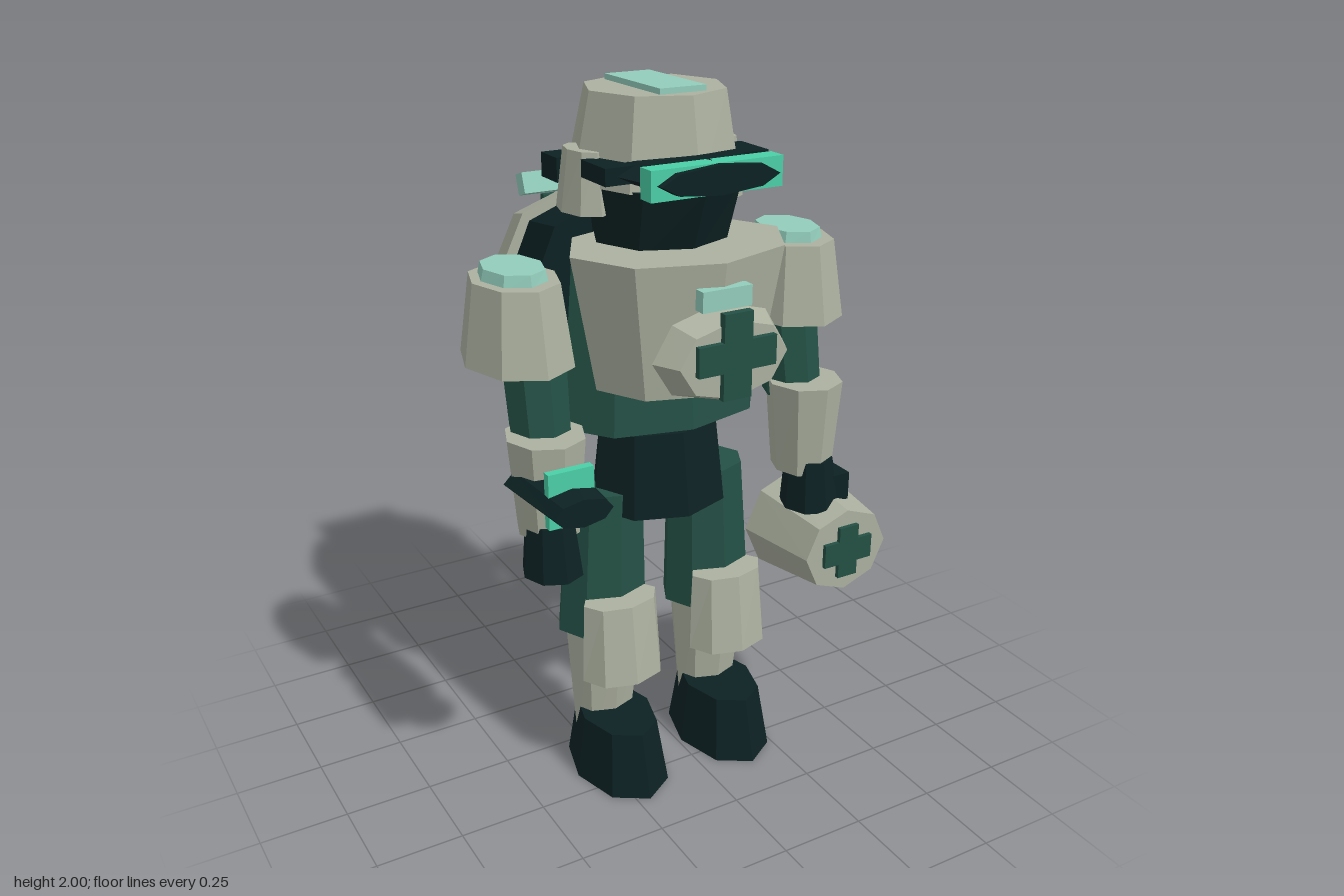
import * as THREE from 'three';

const paint = (name, color) => {
  const m = new THREE.MeshStandardMaterial({ color });
  m.name = name;
  return m;
};

export function createModel() {
  const armour = paint('warm grey armour', 0xabb09f);
  const dark = paint('near black', 0x0d2123);
  const green = paint('dark green', 0x245045);
  const pale = paint('pale teal', 0x92ccbb);
  const bright = paint('bright teal', 0x4acfa6);

  const root = new THREE.Group();
  root.name = 'armouredMedic';
  const body = new THREE.Group();
  body.name = 'body';
  body.position.x = -0.035;
  root.add(body);

  const add = (name, geometry, material) => {
    const mesh = new THREE.Mesh(geometry, material);
    mesh.name = name;
    body.add(mesh);
    return mesh;
  };

  // Faceted eight-sided frustum between two sections [x, y, z, radiusA, radiusB];
  // it runs up y (radii along x, z), or along z when alongZ is set (radii along x, y).
  const frustum = (name, material, from, to, alongZ = false) => {
    const g = new THREE.CylinderGeometry(1, 1, 1, 8).toNonIndexed();
    const p = g.attributes.position;
    for (let i = 0; i < p.count; i++) {
      const t = p.getY(i) + 0.5;
      const [cx, cy, cz, ra, rb] = from.map((v, k) => v + (to[k] - v) * t);
      const x = cx + p.getX(i) * ra;
      if (alongZ) p.setXYZ(i, x, cy - p.getZ(i) * rb, cz);
      else p.setXYZ(i, x, cy, cz + p.getZ(i) * rb);
    }
    g.computeVertexNormals();
    return add(name, g, material);
  };

  const box = (name, material, size, at) => {
    const mesh = add(name, new THREE.BoxGeometry(...size), material);
    mesh.position.set(...at);
    return mesh;
  };

  // Raised cross drawn as one outline; w, h are half lengths, a, b half arm widths
  const cross = (name, w, h, a, b, depth, at) => {
    const outline = [[a, h], [-a, h], [-a, b], [-w, b], [-w, -b], [-a, -b],
      [-a, -h], [a, -h], [a, -b], [w, -b], [w, b], [a, b]];
    const shape = new THREE.Shape(outline.map(([x, y]) => new THREE.Vector2(x, y)));
    const g = new THREE.ExtrudeGeometry(shape, { depth, bevelEnabled: false });
    g.translate(...at);
    return add(name, g, green);
  };

  // Head and helmet
  frustum('head', dark, [0, 1.56, 0.1, 0.185, 0.17], [0, 1.755, 0.12, 0.205, 0.22]);
  frustum('helmet', armour, [0, 1.75, 0.065, 0.232, 0.248], [0, 1.985, 0.078, 0.19, 0.193]);
  box('helmetStripe', pale, [0.135, 0.02, 0.29], [0, 1.99, 0.078]);
  frustum('visorLens', dark, [0, 1.802, 0.22, 0.215, 0.042], [0, 1.802, 0.412, 0.17, 0.038], true);
  box('visorBand', bright, [0.38, 0.078, 0.053], [0, 1.802, 0.367]);
  box('visorStrap', dark, [0.48, 0.045, 0.13], [0, 1.803, 0.19]);

  // Torso, chest armour and pelvis
  frustum('torso', green, [0, 1.1, 0.115, 0.305, 0.178], [0, 1.58, 0.1, 0.26, 0.15]);
  frustum('chestArmour', armour, [0, 1.23, 0.2, 0.245, 0.19], [0, 1.6, 0.2, 0.315, 0.24]);
  frustum('pelvis', dark, [0, 0.83, 0.1, 0.207, 0.175], [0, 1.07, 0.1, 0.185, 0.14]);
  frustum('chestBadge', armour, [0, 1.36, 0.41, 0.197, 0.132], [0, 1.36, 0.485, 0.16, 0.105], true);
  cross('chestCross', 0.115, 0.115, 0.042, 0.04, 0.022, [0, 1.375, 0.48]);
  box('chestLabel', pale, [0.146, 0.055, 0.035], [0, 1.51, 0.43]);

  // Backpack
  frustum('backpackBarrel', dark, [0, 1.39, -0.4, 0.245, 0.225], [0, 1.395, -0.08, 0.31, 0.295], true);
  frustum('backpackCap', armour, [0, 1.41, -0.487, 0.222, 0.19], [0, 1.41, -0.318, 0.29, 0.25], true);
  cross('backpackCross', 0.168, 0.165, 0.06, 0.055, 0.022, [0, 1.425, -0.503]);
  box('backpackBlock', dark, [0.255, 0.07, 0.1], [0, 1.715, -0.297]);
  box('backpackRoll', pale, [0.31, 0.062, 0.045], [0, 1.642, -0.437]).rotation.x = -0.33;

  // Mirrored ear guards, arms and legs
  for (const [s, side] of [[1, 'left'], [-1, 'right']]) {
    const part = (name, material, from, to) => frustum(side + name, material,
      [s * from[0], ...from.slice(1)], [s * to[0], ...to.slice(1)]);

    part('EarGuard', armour, [0.2, 1.68, 0.06, 0.066, 0.1], [0.2, 1.84, 0.06, 0.045, 0.078]);

    part('Shoulder', armour, [0.425, 1.32, 0.1, 0.145, 0.19], [0.425, 1.54, 0.1, 0.115, 0.15]);
    part('ShoulderCap', pale, [0.425, 1.53, 0.093, 0.09, 0.118], [0.425, 1.57, 0.093, 0.08, 0.11]);
    part('UpperArm', green, [0.4, 1.1, 0.18, 0.082, 0.09], [0.395, 1.4, 0.125, 0.09, 0.1]);
    part('Forearm', armour, [0.41, 0.88, 0.228, 0.084, 0.095], [0.41, 1.15, 0.225, 0.108, 0.116]);
    part('Hand', dark, [0.418, 0.77, 0.265, 0.083, 0.09], [0.418, 0.92, 0.255, 0.066, 0.075]);

    part('Thigh', green, [0.178, 0.46, 0.085, 0.14, 0.118], [0.165, 0.895, 0.085, 0.118, 0.1]);
    part('Shin', armour, [0.18, 0.06, 0.08, 0.085, 0.07], [0.178, 0.47, 0.093, 0.122, 0.107]);
    part('KneeGuard', armour, [0.178, 0.35, 0.205, 0.127, 0.093], [0.178, 0.585, 0.195, 0.115, 0.072]);
    part('Boot', dark, [0.178, 0, 0.17, 0.132, 0.2], [0.178, 0.19, 0.165, 0.105, 0.158]);
  }

  // Wrist scanner on the right arm
  frustum('wristScanner', dark, [-0.425, 1.03, 0.22, 0.105, 0.044], [-0.425, 1.03, 0.473, 0.082, 0.038], true);
  box('wristScreen', bright, [0.128, 0.152, 0.024], [-0.425, 1.043, 0.392]);

  // Medical canister carried in the left hand
  frustum('canister', armour, [0.46, 0.657, 0.135, 0.174, 0.163], [0.46, 0.662, 0.4, 0.14, 0.127], true);
  cross('canisterCross', 0.082, 0.08, 0.033, 0.036, 0.02, [0.46, 0.662, 0.393]);
  box('canisterHandle', dark, [0.14, 0.085, 0.08], [0.45, 0.822, 0.28]);

  return root;
}
